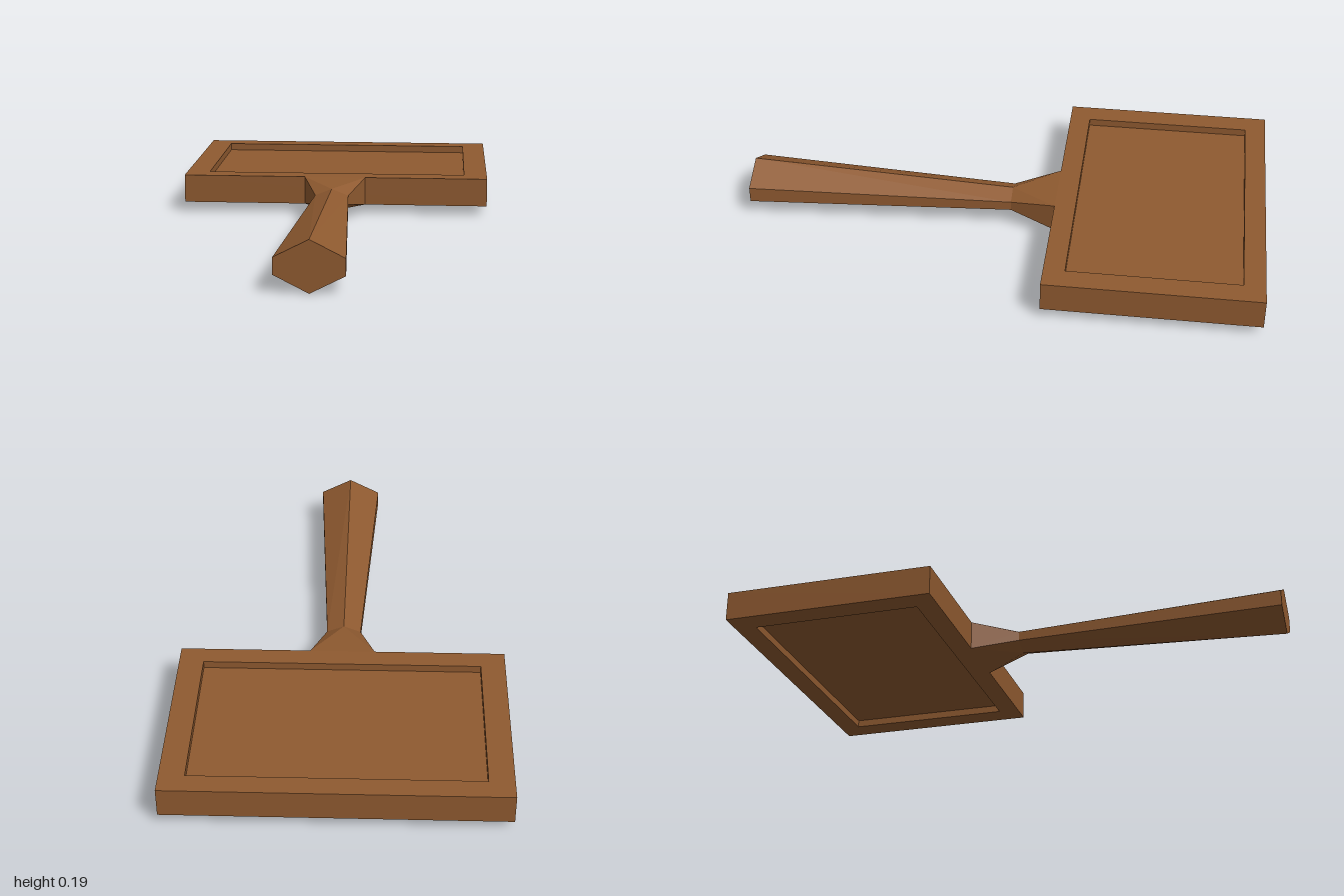
import * as THREE from 'three';

const MID = 0.0925; // height of the centre plane
const HALF = 0.0555; // half thickness of the head

const wood = new THREE.MeshStandardMaterial({ color: 0x8f5a30, flatShading: true });

function rectangle(target, x, z0, z1) {
  target.moveTo(-x, z0);
  target.lineTo(x, z0);
  target.lineTo(x, z1);
  target.lineTo(-x, z1);
  target.closePath();
  return target;
}

// Six-sided section: w half width, s half height of the sides, h half height at the ridge
function section(z, w, s, h) {
  return [[0, h], [-w, s], [-w, -s], [0, -h], [w, -s], [w, s]].map(([x, y]) => [x, MID + y, z]);
}

function loft(sections) {
  const points = [];
  const add = (...corners) => corners.forEach((c) => points.push(...c));
  for (let k = 0; k < sections.length - 1; k++) {
    const a = sections[k], b = sections[k + 1];
    for (let i = 0; i < 6; i++) {
      const j = (i + 1) % 6;
      // Diagonals start at the ridges so that both sides mirror
      if (i % 3 === 2) {
        add(a[i], b[i], a[j]);
        add(b[i], b[j], a[j]);
      } else {
        add(a[i], b[i], b[j]);
        add(a[i], b[j], a[j]);
      }
    }
  }
  // End caps
  const first = sections[0], last = sections[sections.length - 1];
  for (let i = 1; i < 5; i++) {
    add(first[0], first[i], first[i + 1]);
    add(last[0], last[i + 1], last[i]);
  }
  const geometry = new THREE.BufferGeometry();
  geometry.setAttribute('position', new THREE.Float32BufferAttribute(points, 3));
  geometry.computeVertexNormals();
  return geometry;
}

export function createModel() {
  const model = new THREE.Group();
  model.name = 'paddle';
  const addPart = (name, geometry) => {
    const mesh = new THREE.Mesh(geometry, wood);
    mesh.name = name;
    model.add(mesh);
    return mesh;
  };

  // Head: raised rim around a panel sunk on both faces
  const outline = rectangle(new THREE.Shape(), 0.612, 0.2, 1);
  outline.holes.push(rectangle(new THREE.Path(), 0.52, 0.28, 0.92));
  const rim = new THREE.ExtrudeGeometry(outline, { depth: 2 * HALF, bevelEnabled: false });
  rim.rotateX(-Math.PI / 2);
  rim.translate(0, MID - HALF, 0);
  addPart('headRim', rim);

  const panel = addPart('headPanel', new THREE.BoxGeometry(1.04, 2 * HALF - 0.056, 0.64));
  panel.position.set(0, MID, -0.6);

  // Handle: narrows towards the head, then flares out to the rim
  addPart('handle', loft([
    section(1, 0.122, 0.03, 0.0925),
    section(-0.025, 0.065, 0.018, 0.044),
    section(-0.2, 0.122, HALF, HALF),
  ]));

  return model;
}
